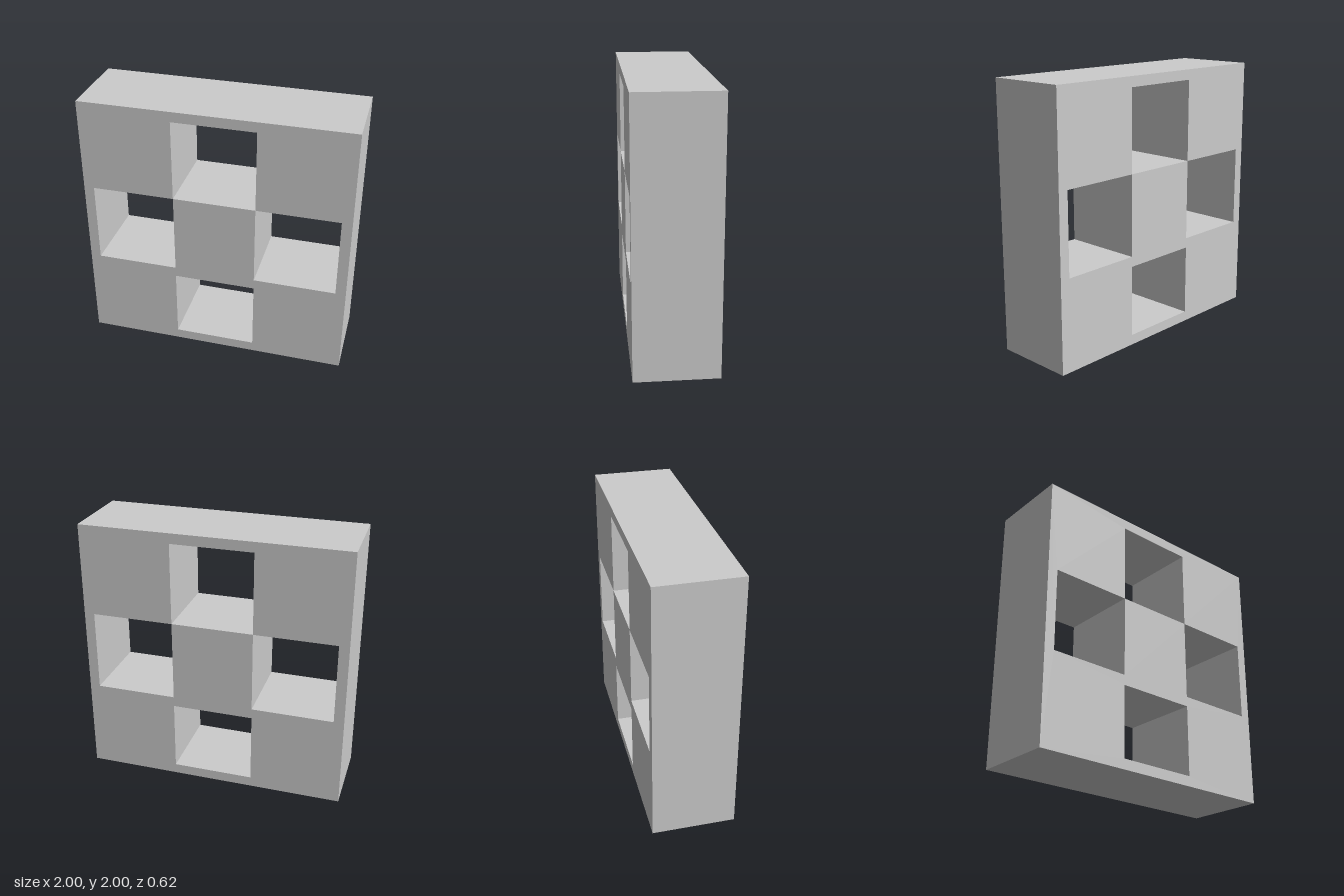
import * as THREE from 'three';

const U = 2 / 13; // module: the panel is 13 units square and 4 units deep

// Rectangle given by its lower left corner and size, in units
function rect(PathType, x, y, w, h) {
  const points = [[x, y], [x + w, y], [x + w, y + h], [x, y + h]];
  return new PathType(points.map(([px, py]) => new THREE.Vector2(px * U, py * U)));
}

export function createModel() {
  const group = new THREE.Group();
  group.name = 'ventilationBlock';
  const gap = 0.003; // keeps holes that meet at a corner from sharing a vertex

  // Square panel with through openings
  const panel = rect(THREE.Shape, -6.5, 0, 13, 13);
  panel.holes.push(
    rect(THREE.Path, -2, 8.5 + gap, 4, 4 - gap), // upper
    rect(THREE.Path, -2, 0.5, 4, 3.5), // lower
    rect(THREE.Path, -6, 4.5, 4, 4), // right
    rect(THREE.Path, 2, 4.5, 4, 4), // left
  );

  const geometry = new THREE.ExtrudeGeometry(panel, { depth: 4 * U, bevelEnabled: false });
  geometry.translate(0, 0, -2 * U);
  const block = new THREE.Mesh(
    geometry,
    new THREE.MeshStandardMaterial({ color: 0xcccccc, flatShading: true }),
  );
  block.name = 'perforatedBlock';
  group.add(block);
  return group;
}
